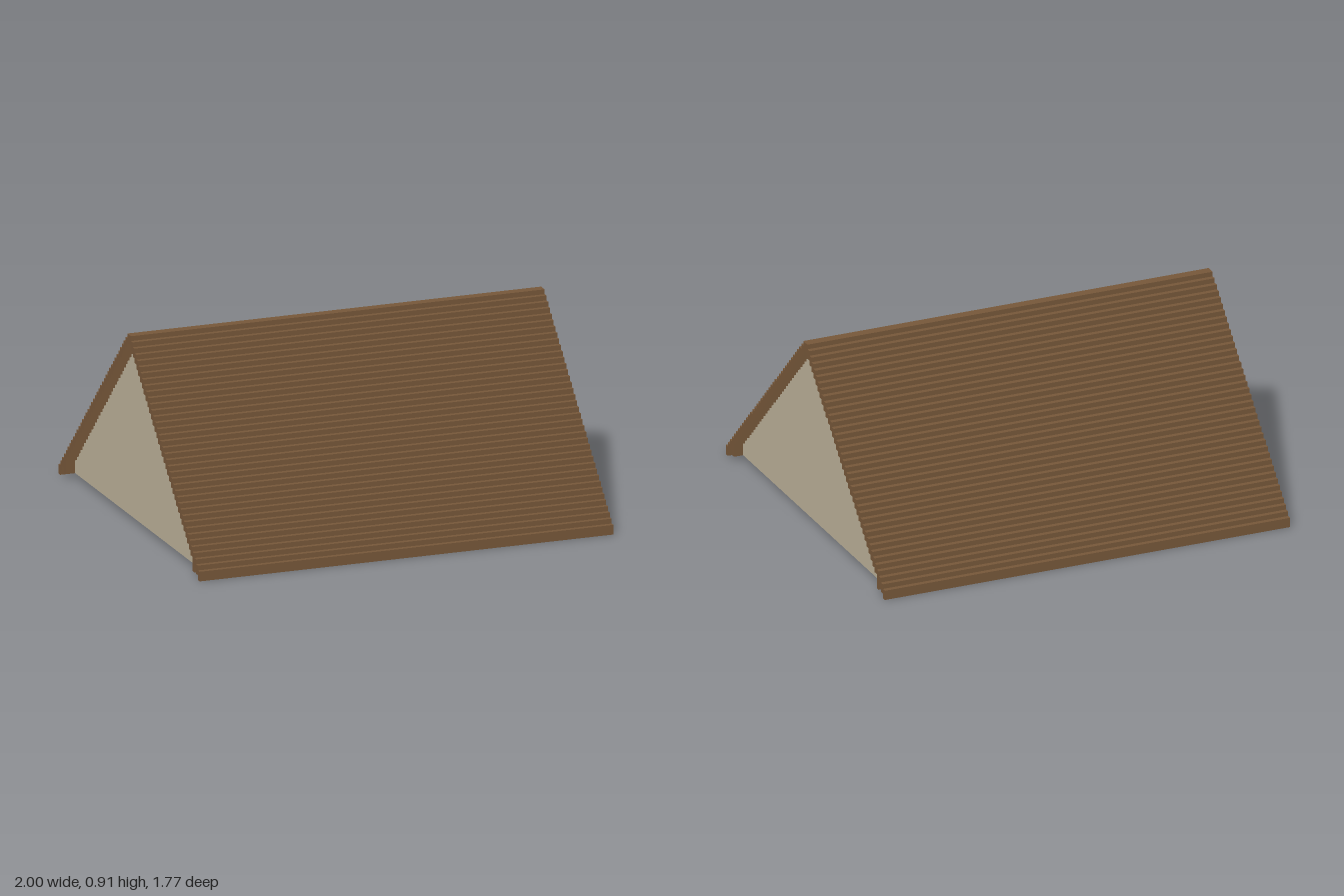
import * as THREE from 'three';

const S = 1 / 44; // one step of the roof
const STEPS = 39;
const LENGTH = 88;

const roofBrown = new THREE.MeshStandardMaterial({ color: 0x765739 });
roofBrown.name = 'roof brown';
const gableCream = new THREE.MeshStandardMaterial({ color: 0xbbb098 });
gableCream.name = 'gable cream';

// Extrude a (z, y) outline, given in steps, along x between x0 and x1
function extrudeAlongX(points, x0, x1, material, name) {
  const shape = new THREE.Shape(points.map(([z, y]) => new THREE.Vector2(-z * S, y * S)));
  const geometry = new THREE.ExtrudeGeometry(shape, { depth: (x1 - x0) * S, bevelEnabled: false });
  geometry.rotateY(Math.PI / 2);
  geometry.translate(x0 * S, 0, 0);
  const mesh = new THREE.Mesh(geometry, material);
  mesh.name = name;
  return mesh;
}

// Stepped outline of the whole roof: over the outside, back along the underside
function roofOutline() {
  const outerHalf = [];
  const innerHalf = [];
  for (let i = 0; i < STEPS; i++) {
    outerHalf.push([i + 1, 40 - i], [i + 1, 39 - i]);
    if (i > 0) innerHalf.push([i, 39 - i], [i, 38 - i]);
    else innerHalf.push([1, 38]);
  }
  outerHalf[outerHalf.length - 1] = [STEPS, 0];
  innerHalf.shift();
  const mirror = (list) => list.map(([z, y]) => [-z, y]);
  return [
    ...mirror(outerHalf).reverse(),
    ...outerHalf,
    ...innerHalf.reverse(),
    ...mirror(innerHalf).reverse(),
  ];
}

export function createModel() {
  const group = new THREE.Group();
  group.name = 'gableRoof';

  group.add(extrudeAlongX(roofOutline(), -LENGTH / 2, LENGTH / 2, roofBrown, 'steppedRoof'));

  // Gable walls, set in from both ends, their slopes running inside the roof
  const gable = [[-35, 1], [-35, 4], [0, 38.9], [35, 4], [35, 1]];
  group.add(extrudeAlongX(gable, 38, 42, gableCream, 'leftGable'));
  group.add(extrudeAlongX(gable, -42, -38, gableCream, 'rightGable'));

  // Plates under the eaves
  for (const side of [-1, 1]) {
    const plate = new THREE.Mesh(new THREE.BoxGeometry(LENGTH * S, 2 * S, S), roofBrown);
    plate.name = side > 0 ? 'frontEavePlate' : 'backEavePlate';
    plate.position.set(0, 2 * S, side * 35.5 * S);
    group.add(plate);
  }
  return group;
}
